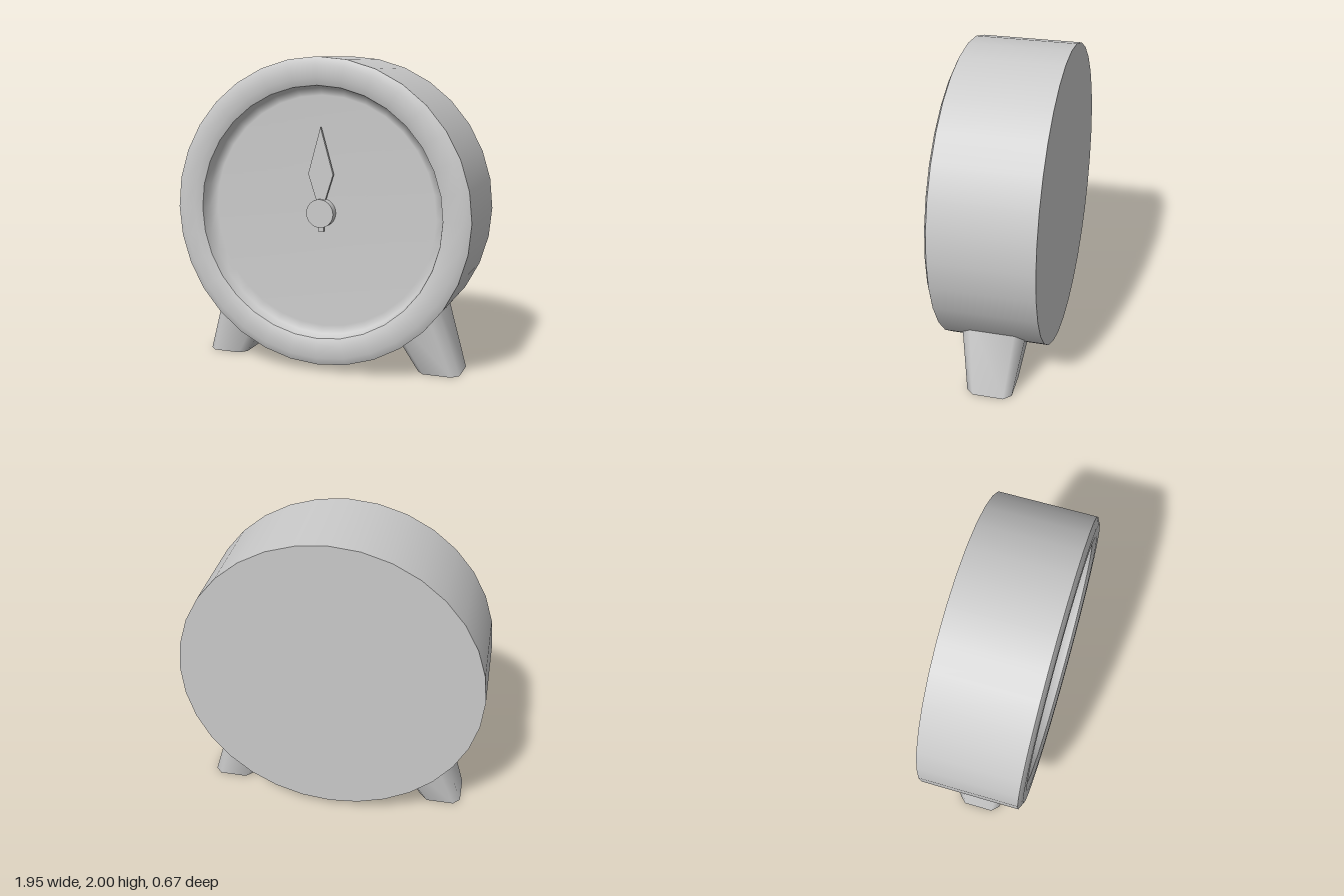
import * as THREE from 'three';
import { toCreasedNormals } from 'three/addons/utils/BufferGeometryUtils.js';

const material = new THREE.MeshStandardMaterial({ color: 0xcccccc });
const CENTER_Y = 1.023, SIDES = 32;

function part(name, geometry) {
  const mesh = new THREE.Mesh(geometry, material);
  mesh.name = name;
  return mesh;
}

// Turned part around the z axis; profile entries are [radius, z], back to front
function turned(name, profile) {
  const geometry = new THREE.LatheGeometry(profile.map(([r, z]) => new THREE.Vector2(r, z)), SIDES);
  geometry.rotateX(Math.PI / 2).translate(0, CENTER_Y, 0);
  return part(name, geometry);
}

// Flat outline through the points, pushed out along z
function extruded(points, depth) {
  const shape = new THREE.Shape(points.map(([x, y]) => new THREE.Vector2(x, y)));
  return new THREE.ExtrudeGeometry(shape, { depth, bevelEnabled: false });
}

// Splayed leg: chamfered square section that widens and leans inward as it rises
function leg(name, side) {
  const c = 0.68;
  const section = [[1, -c], [1, c], [c, 1], [-c, 1], [-1, c], [-1, -c], [-c, -1], [c, -1]];
  const geometry = extruded(section, 0.5).rotateX(-Math.PI / 2);
  const p = geometry.attributes.position;
  for (let i = 0; i < p.count; i++) {
    const y = p.getY(i);
    const outer = 0.875 - 0.303 * y, inner = 0.605 - 0.618 * y;
    p.setX(i, side * (outer + inner) / 2 + p.getX(i) * (outer - inner) / 2);
    p.setZ(i, -0.012 + p.getZ(i) * (0.145 + 0.155 * y));
  }
  return part(name, toCreasedNormals(geometry, Math.PI / 3));
}

export function createModel() {
  const model = new THREE.Group();
  model.name = 'clock';

  // Drum-shaped case with bevelled front rim and recessed dial
  model.add(
    turned('caseBack', [[0, -0.333], [0.977, -0.333]]),
    turned('caseSide', [[0.977, -0.333], [0.977, 0.31]]),
    turned('rim', [[0.977, 0.31], [0.93, 0.333], [0.85, 0.333], [0.803, 0.315]]),
    turned('dial', [[0.803, 0.315], [0.787, 0.25], [0.74, 0.222], [0, 0.22]]),
  );

  // Pointer with a short tail, and its round cap
  const half = [[0.083, 1.27], [0.018, 1.07], [0.018, 0.905]];
  const mirrored = half.map(([x, y]) => [-x, y]).reverse();
  const hand = extruded([[0, 1.565], ...half, ...mirrored], 0.02);
  model.add(part('hand', hand.translate(0, 0, 0.235)));

  const hub = new THREE.CylinderGeometry(0.09, 0.09, 0.06, SIDES);
  hub.rotateX(Math.PI / 2).translate(0, CENTER_Y, 0.245);
  model.add(part('handCap', hub));

  // Legs
  model.add(leg('leftLeg', 1), leg('rightLeg', -1));
  return model;
}
